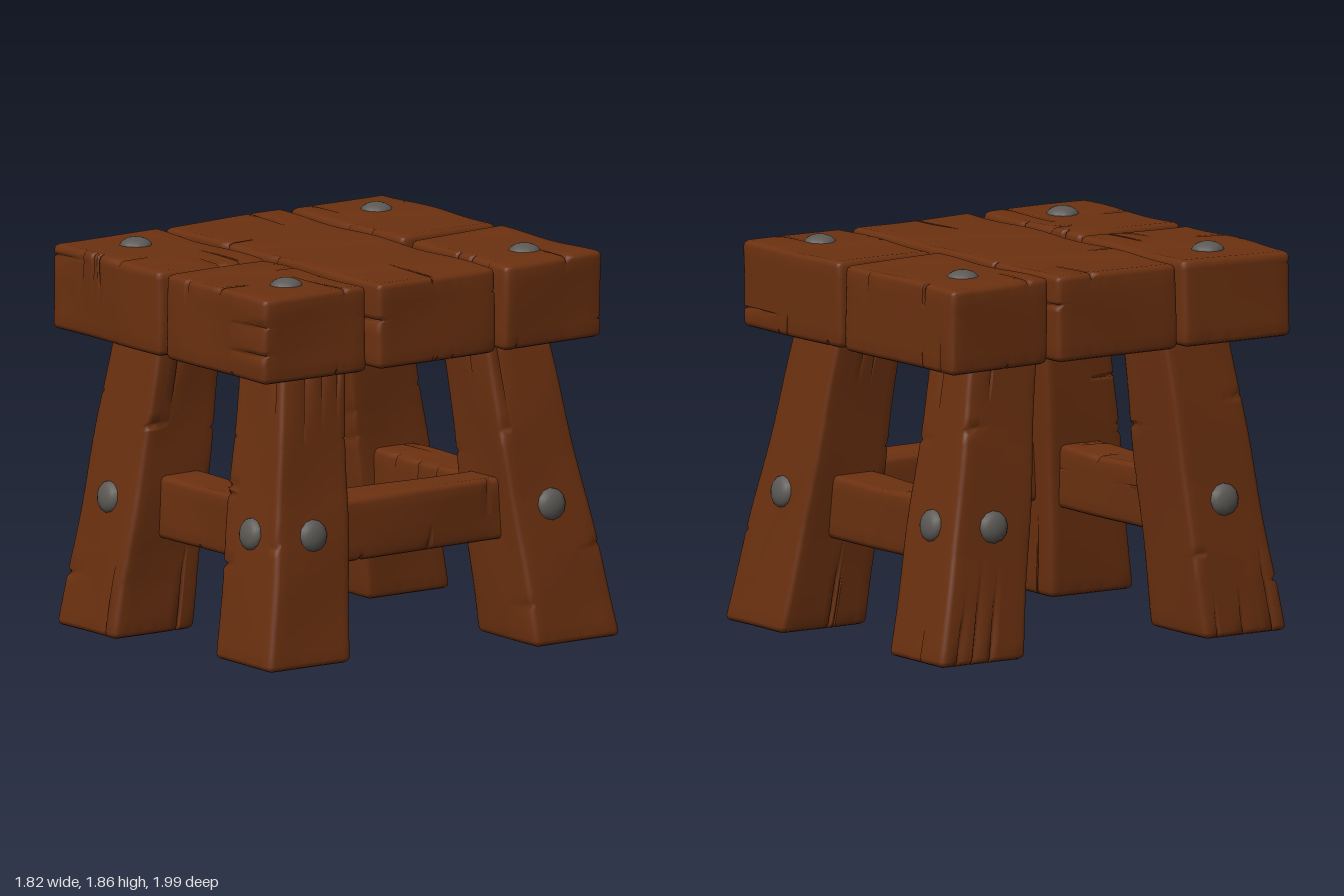
import * as THREE from 'three';
import { mergeVertices } from 'three/addons/utils/BufferGeometryUtils.js';

const wood = new THREE.MeshStandardMaterial({ color: 0x6c3110 });
wood.name = 'brown wood';
const iron = new THREE.MeshStandardMaterial({ color: 0x5c5955 });
iron.name = 'grey iron';

const BEVEL = 0.028;
let seed = 7;
const rand = () => (seed = (seed * 16807) % 2147483647) / 2147483647;
const lerp = THREE.MathUtils.lerp;
const pick = (a, b) => (rand() < 0.5 ? a : b);

// Rectangle as four [x, z] corners: back left, back right, front left, front right of the plan
const rect = (x0, x1, z0, z1) => [[x0, z0], [x1, z0], [x0, z1], [x1, z1]];

// Splits along the grain from the ends, and short nicks across the edges
function makeCracks(half, splits, nicks) {
  const grain = half.indexOf(Math.max(...half));
  const sides = [0, 1, 2].filter((i) => i !== grain);
  const cracks = [];
  for (let i = 0; i < splits + nicks; i++) {
    const split = i < splits;
    const n = pick(sides[0], sides[1]);
    const other = sides[0] + sides[1] - n;
    const across = split ? other : grain;
    const along = split ? grain : other;
    cracks.push({
      n, across, along,
      face: pick(-1, 1), end: pick(-1, 1),
      at: (rand() * 1.5 - 0.75) * half[across],
      depth: 0.02 + rand() * 0.02,
      len: split ? 0.15 + rand() * 0.3 : 0.06 + rand() * 0.1,
      width: split ? 0.009 : 0.018,
    });
  }
  return cracks;
}

// Grid lines along one axis, with close ones at the bevels and the cracks
function gridLines(axis, half, cracks) {
  const h = half[axis];
  const lines = [-h, -h + BEVEL, h - BEVEL, h];
  for (const c of cracks) {
    if (c.across === axis) lines.push(c.at - c.width, c.at, c.at + c.width);
  }
  const steps = Math.ceil((2 * h) / 0.09);
  for (let i = 1; i < steps; i++) {
    const v = -h + (2 * h * i) / steps;
    if (lines.every((l) => Math.abs(l - v) > 0.02)) lines.push(v);
  }
  return lines.sort((a, b) => a - b);
}

// Worn, bevelled timber stretched between a lower and an upper plan outline
function timber(name, low, high, y0, y1, splits = 4, nicks = 4) {
  const span = (k) => Math.abs(low[3][k] - low[0][k]) / 2;
  const half = [span(0), (y1 - y0) / 2, span(1)];
  const cracks = makeCracks(half, splits, nicks);
  const lines = [0, 1, 2].map((a) => gridLines(a, half, cracks));
  const seg = lines.map((l) => l.length - 1);
  let geo = new THREE.BoxGeometry(1, 1, 1, ...seg);
  const pos = geo.attributes.position;
  const phase = rand() * 6;

  for (let i = 0; i < pos.count; i++) {
    const grid = [pos.getX(i), pos.getY(i), pos.getZ(i)]
      .map((v, a) => lines[a][Math.round((v + 0.5) * seg[a])]);
    // round the edges
    const core = grid.map((v, a) => THREE.MathUtils.clamp(v, BEVEL - half[a], half[a] - BEVEL));
    const off = new THREE.Vector3(...grid.map((v, a) => v - core[a])).setLength(BEVEL);
    const p = [core[0] + off.x, core[1] + off.y, core[2] + off.z];
    // cut the cracks
    for (const c of cracks) {
      if (Math.abs(grid[c.across] - c.at) > 1e-5) continue;
      const dist = half[c.along] - grid[c.along] * c.end;
      const cut = c.depth * Math.max(0, 1 - dist / c.len);
      p[c.n] = c.face * Math.min(p[c.n] * c.face, half[c.n] - cut);
    }
    // blend the outlines, with a slight hand-hewn wobble
    const [u, t, w] = p.map((v, a) => v / half[a] / 2 + 0.5);
    const at = (q, k) => lerp(lerp(q[0][k], q[1][k], u), lerp(q[2][k], q[3][k], u), w);
    const wob = (a, b) => 0.004 * Math.sin(a * 9 + b * 5 + phase);
    pos.setXYZ(i,
      lerp(at(low, 0), at(high, 0), t) + wob(p[1], p[2]),
      lerp(y0, y1, t) + wob(p[0], p[2]) * t,
      lerp(at(low, 1), at(high, 1), t) + wob(p[0], p[1]));
  }
  geo.deleteAttribute('uv');
  geo.deleteAttribute('normal');
  geo = mergeVertices(geo, 1e-5);
  geo.computeVertexNormals();
  const mesh = new THREE.Mesh(geo, wood);
  mesh.name = name;
  return mesh;
}

// Domed bolt head facing along a direction
function bolt(name, x, y, z, dir) {
  const geo = new THREE.SphereGeometry(0.078, 12, 5, 0, Math.PI * 2, 0, Math.PI / 2);
  geo.scale(1, 0.55, 1);
  const mesh = new THREE.Mesh(geo, iron);
  mesh.name = name;
  mesh.position.set(x, y, z);
  mesh.quaternion.setFromUnitVectors(new THREE.Vector3(0, 1, 0), dir.normalize());
  return mesh;
}

export function createModel() {
  const model = new THREE.Group();
  model.name = 'stool';

  // Seat: one long middle plank and four corner blocks
  const seat = new THREE.Group();
  seat.name = 'seat';
  const blocks = {
    middlePlank: rect(-0.905, 0.795, -0.345, 0.34),
    backRightBlock: [[-0.915, -0.955], [-0.04, -0.97], [-0.89, -0.385], [-0.02, -0.405]],
    backLeftBlock: [[0.01, -0.96], [0.785, -0.975], [0.03, -0.405], [0.8, -0.395]],
    frontRightBlock: [[-0.895, 0.385], [-0.025, 0.395], [-0.915, 0.985], [-0.065, 0.99]],
    frontLeftBlock: [[0.005, 0.41], [0.79, 0.4], [-0.01, 0.99], [0.775, 0.99]],
  };
  for (const [name, q] of Object.entries(blocks)) {
    seat.add(timber(name, q, q, 1.42, 1.83, name === 'middlePlank' ? 8 : 4, 7));
  }
  for (const [x, z] of [[-0.63, -0.7], [0.55, -0.69], [-0.65, 0.69], [0.53, 0.685]]) {
    seat.add(bolt('seatBolt', x, 1.822, z, new THREE.Vector3(0, 1, 0)));
  }
  model.add(seat);

  // Splayed legs: [name, x side, z side, foot height, foot outline, top outline]
  const legTop = 1.45;
  const legs = [
    ['frontRightLeg', -1, 1, 0.01, [-0.865, -0.4, 0.53, 1.0], [-0.71, -0.34, 0.4, 0.77]],
    ['frontLeftLeg', 1, 1, 0.04, [0.335, 0.79, 0.49, 0.965], [0.265, 0.62, 0.4, 0.765]],
    ['backRightLeg', -1, -1, 0.02, [-0.85, -0.4, -0.97, -0.49], [-0.71, -0.365, -0.7, -0.32]],
    ['backLeftLeg', 1, -1, 0.005, [0.43, 0.91, -0.995, -0.5], [0.27, 0.64, -0.765, -0.4]],
  ];
  for (const [name, sx, sz, y0, foot, top] of legs) {
    const group = new THREE.Group();
    group.name = name;
    group.add(timber(name + 'Timber', rect(...foot), rect(...top), y0, legTop, 6, 6));
    // a bolt on each outer face
    const y = 0.655;
    const [x0, x1, z0, z1] = foot.map((v, i) => lerp(v, top[i], (y - y0) / (legTop - y0)));
    const outX = sx > 0 ? x1 : x0;
    const outZ = sz > 0 ? z1 : z0;
    group.add(bolt('sideBolt', outX - sx * 0.004, y, (z0 + z1) / 2, new THREE.Vector3(sx, 0.13, 0)));
    group.add(bolt('endBolt', (x0 + x1) / 2, y, outZ - sz * 0.004, new THREE.Vector3(0, 0.14, sz)));
    model.add(group);
  }

  // Stretchers on three sides
  const stretchers = [
    ['frontStretcher', [-0.5, 0.45, 0.51, 0.75], 0.47, 0.77],
    ['backStretcher', [-0.5, 0.5, -0.76, -0.51], 0.445, 0.745],
    ['leftStretcher', [0.43, 0.67, -0.6, 0.6], 0.49, 0.79],
  ];
  for (const [name, r, y0, y1] of stretchers) {
    model.add(timber(name, rect(...r), rect(...r), y0, y1, 4, 4));
  }
  return model;
}
